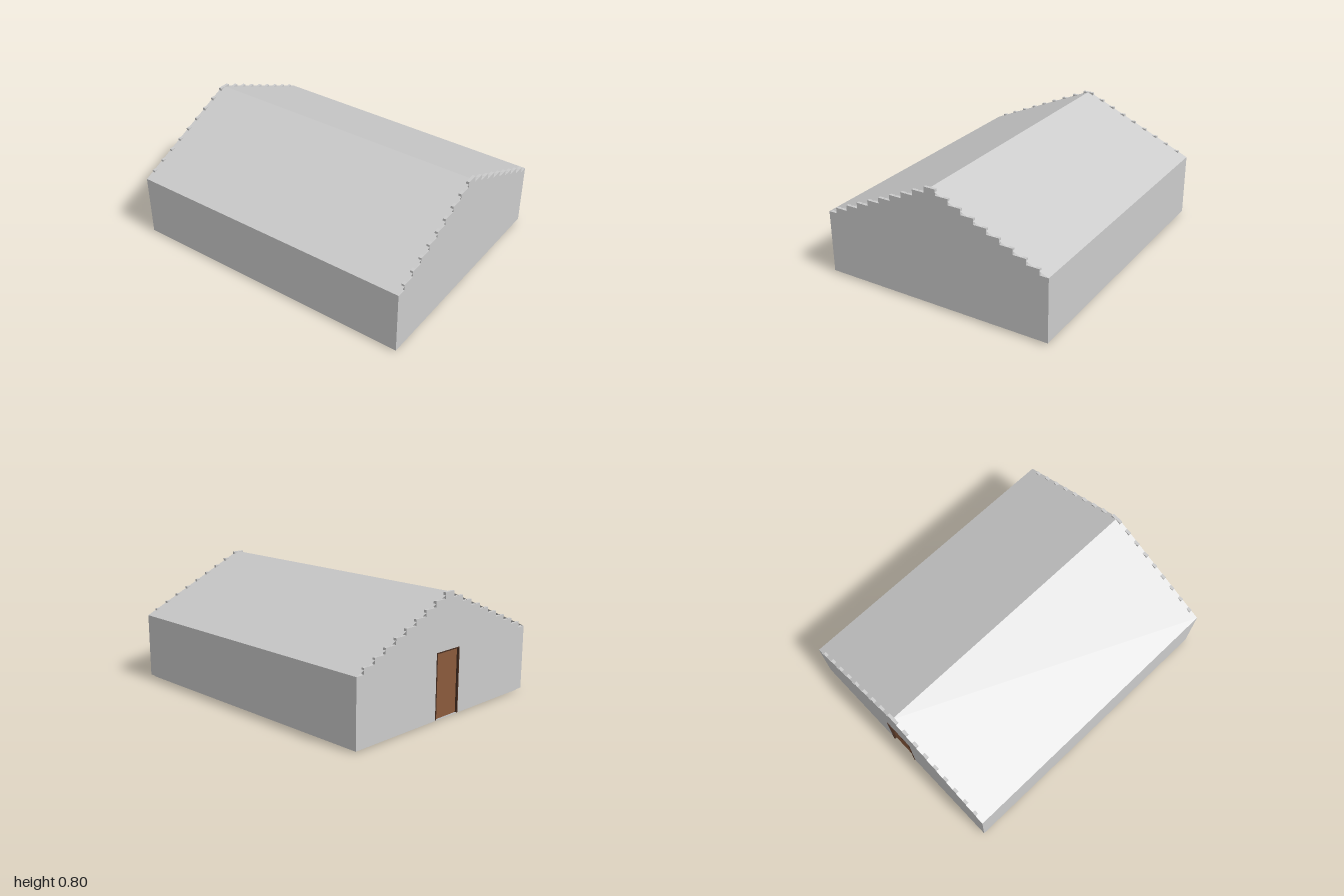
import * as THREE from 'three';

const HALF_W = 0.8, HALF_L = 1, WALL = 0.02;
const FLOOR = 0.015, EAVE = 0.445, RIDGE = 0.8;
const DOOR_HALF = 0.108, DOOR_TOP = 0.44;

const grey = new THREE.MeshStandardMaterial({ color: 0xcccccc });
const roofGrey = new THREE.MeshStandardMaterial({ color: 0xcccccc, side: THREE.DoubleSide });
const doorBrown = new THREE.MeshStandardMaterial({ color: 0x8b5a3c });
const frameBrown = new THREE.MeshStandardMaterial({ color: 0x4a3022 });

function addMesh(parent, name, geometry, material, x = 0, y = 0, z = 0) {
  const mesh = new THREE.Mesh(geometry, material);
  mesh.name = name;
  mesh.position.set(x, y, z);
  parent.add(mesh);
  return mesh;
}

function extrude(points, depth) {
  const shape = new THREE.Shape(points.map(([x, y]) => new THREE.Vector2(x, y)));
  return new THREE.ExtrudeGeometry(shape, { depth, bevelEnabled: false });
}

// Upside-down U around the door opening, open at the floor
function doorway(outer, top, inner, innerTop) {
  return [
    [-outer, FLOOR], [-inner, FLOOR], [-inner, innerTop], [inner, innerTop],
    [inner, FLOOR], [outer, FLOOR], [outer, top], [-outer, top],
  ];
}

// Gable wall whose top edge climbs in nine equal steps to the ridge
function gableGeometry(withDoor) {
  const steps = 9;
  const rise = (RIDGE - EAVE) / steps;
  const right = [[HALF_W, FLOOR], [HALF_W, EAVE]];
  for (let i = 0; i < steps; i++) {
    const x = 0.74 - i * 0.0875;
    right.push([x, EAVE + i * rise], [x, EAVE + (i + 1) * rise]);
  }
  const left = right.map(([x, y]) => [-x, y]).reverse();
  const opening = withDoor
    ? [[-DOOR_HALF, FLOOR], [-DOOR_HALF, DOOR_TOP], [DOOR_HALF, DOOR_TOP], [DOOR_HALF, FLOOR]]
    : [];
  return extrude([...right, ...left, ...opening], WALL);
}

export function createModel() {
  const model = new THREE.Group();
  model.name = 'house';

  // Floor slab, slightly inset from the walls
  addMesh(model, 'floorSlab',
    new THREE.BoxGeometry(2 * (HALF_W - WALL), FLOOR, 2 * (HALF_L - WALL)), grey, 0, FLOOR / 2, 0);

  // Stepped gable walls
  addMesh(model, 'frontGable', gableGeometry(false), grey, 0, 0, HALF_L - WALL);
  addMesh(model, 'backGable', gableGeometry(true), grey, 0, 0, -HALF_L);

  // Long side walls and thin roof slopes
  const slope = Math.hypot(HALF_W, RIDGE - EAVE);
  const pitch = Math.atan2(RIDGE - EAVE, HALF_W);
  for (const side of [-1, 1]) {
    const label = side > 0 ? 'left' : 'right';
    addMesh(model, label + 'Wall',
      new THREE.BoxGeometry(WALL, EAVE - FLOOR, 2 * (HALF_L - WALL)), grey,
      side * (HALF_W - WALL / 2), (EAVE + FLOOR) / 2, 0);

    const sheet = new THREE.PlaneGeometry(slope, 2 * HALF_L);
    sheet.rotateX(-Math.PI / 2);
    sheet.rotateZ(-side * pitch);
    addMesh(model, label + 'Roof', sheet, roofGrey, side * HALF_W / 2, (EAVE + RIDGE) / 2, 0);
  }

  // Recessed door with its frame in the back gable
  const door = new THREE.Group();
  door.name = 'door';
  const rim = 0.007;
  addMesh(door, 'doorFrame',
    extrude(doorway(DOOR_HALF, DOOR_TOP, DOOR_HALF - rim, DOOR_TOP - rim), WALL + 0.003),
    frameBrown, 0, 0, -HALF_L - 0.003);
  addMesh(door, 'doorPanel',
    new THREE.BoxGeometry(2 * (DOOR_HALF - rim), DOOR_TOP - rim - FLOOR, 0.008),
    doorBrown, 0, (DOOR_TOP - rim + FLOOR) / 2, -HALF_L + WALL - 0.004);
  model.add(door);

  return model;
}
